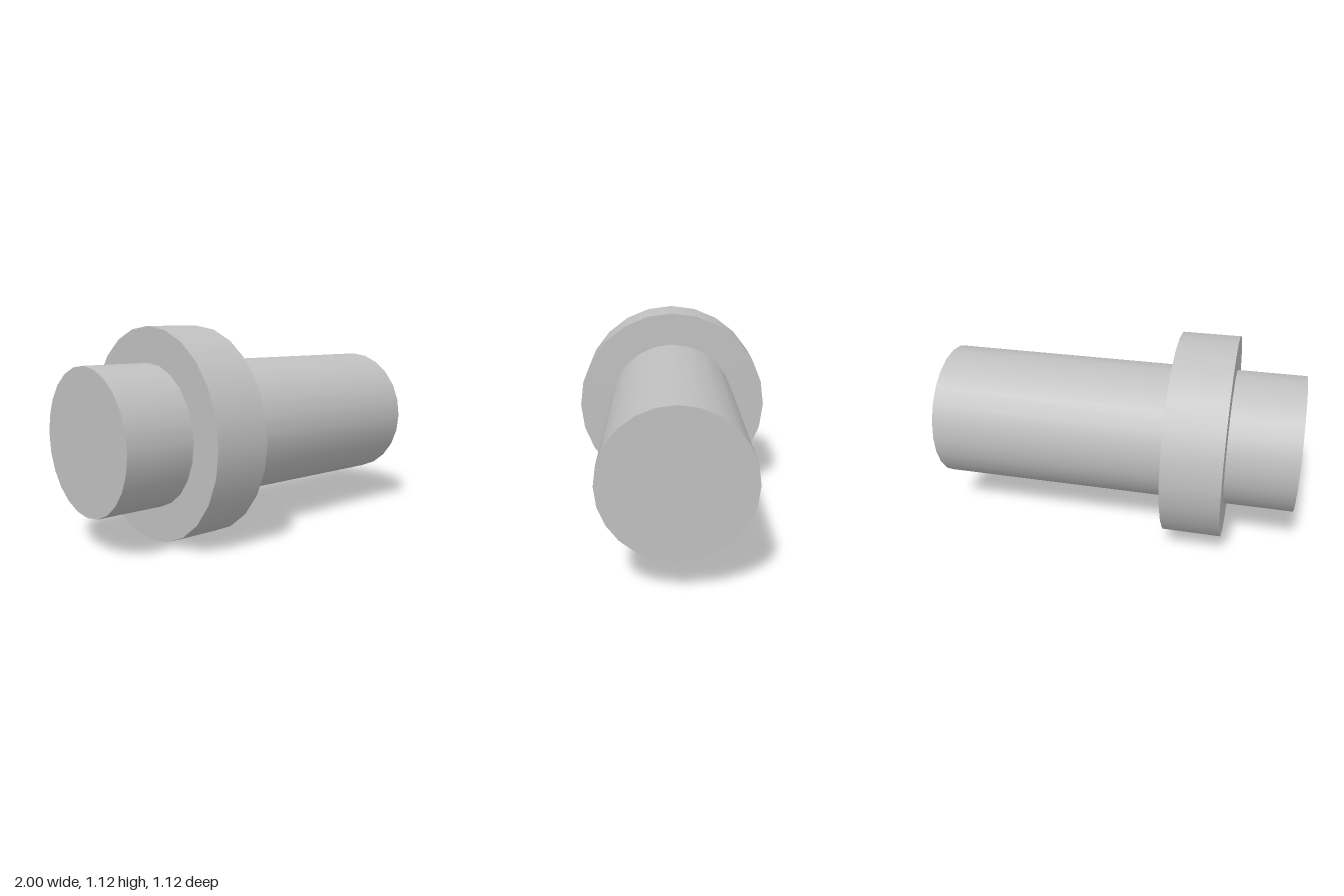
import * as THREE from 'three';

const SIDES = 24;
const AXIS_Y = 0.5625;

export function createModel() {
  const model = new THREE.Group();
  model.name = 'flangedPin';
  const steel = new THREE.MeshStandardMaterial({ color: 0xc0c0c0 });
  steel.name = 'light grey';

  // Cylinder lying along x between two positions
  const addRod = (name, radius, x0, x1) => {
    const geometry = new THREE.CylinderGeometry(radius, radius, x1 - x0, SIDES);
    geometry.rotateZ(-Math.PI / 2);
    const mesh = new THREE.Mesh(geometry, steel);
    mesh.name = name;
    mesh.position.set((x0 + x1) / 2, AXIS_Y, 0);
    model.add(mesh);
  };

  addRod('shaft', 0.375, -1, 1);
  addRod('collar', 0.5625, -0.625, -0.3125);

  return model;
}
